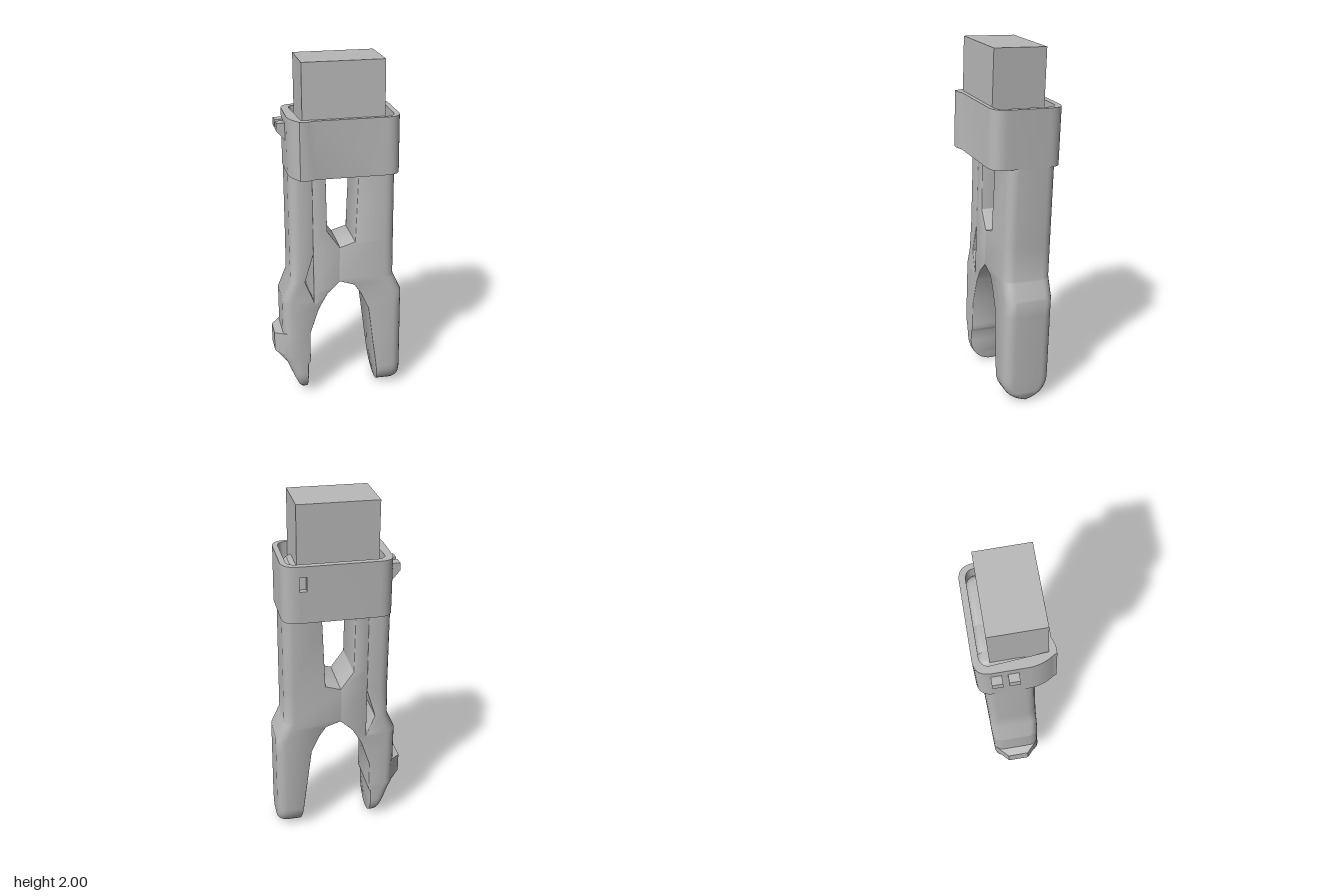
import * as THREE from 'three';
import { toCreasedNormals } from 'three/addons/utils/BufferGeometryUtils.js';
import { ConvexGeometry } from 'three/addons/geometries/ConvexGeometry.js';

const R = 0.137; // half depth of the legs
const TOP = 1.66;

// Linear lookup in a list of [y, x] points
function at(profile, y) {
  for (let i = 1; i < profile.length; i++) {
    const [y0, x0] = profile[i - 1], [y1, x1] = profile[i];
    if (y <= y1) return x0 + (x1 - x0) * Math.max(0, (y - y0) / (y1 - y0));
  }
  return profile[profile.length - 1][1];
}

// Half depth: round toe at the bottom, eased edge at the top
function halfDepth(y) {
  if (y < R) return Math.max(0.004, Math.sqrt(R * R - (R - y) ** 2));
  if (y > TOP - 0.04) return R - 0.04 + Math.sqrt(Math.max(0, 0.0016 - (y - TOP + 0.04) ** 2));
  return R;
}

// Rounded rectangle from x0 to x1, with corner radii r0 and r1
function section(x0, x1, h, r0, r1) {
  const pts = [], n = 5, w = (x1 - x0) / 2;
  const corners = [[1, 1, r1], [-1, 1, r0], [-1, -1, r0], [1, -1, r1]];
  corners.forEach(([sx, sz, r], c) => {
    r = Math.min(r, h * 0.98, w * 0.98);
    for (let i = 0; i <= n; i++) {
      const a = (c + i / n) * Math.PI / 2;
      pts.push([(sx > 0 ? x1 - r : x0 + r) + r * Math.cos(a), sz * (h - r) + r * Math.sin(a)]);
    }
  });
  return pts;
}

// Upright body between two side profiles
function loft(left, right, yMin, yMax, rLeft, rRight) {
  const ys = new Set([yMin, yMax]);
  [...left, ...right].forEach(([y]) => ys.add(y));
  for (let i = 1; i <= 8; i++) ys.add(R * (1 - Math.cos(i * Math.PI / 16)));
  for (let i = 0; i < 4; i++) ys.add(TOP - 0.04 + 0.04 * Math.sin(i * Math.PI / 8));
  const levels = [...ys].filter(y => y >= yMin && y <= yMax).sort((a, b) => a - b);
  const pos = [], idx = [];
  let n = 0;
  levels.forEach(y => {
    const s = section(at(left, y), at(right, y), halfDepth(y), rLeft, rRight);
    n = s.length;
    s.forEach(([x, z]) => pos.push(x, y, z));
  });
  for (let k = 0; k < levels.length - 1; k++) {
    for (let i = 0; i < n; i++) {
      const a = k * n + i, b = k * n + (i + 1) % n;
      idx.push(a, a + n, b, b, a + n, b + n);
    }
  }
  const last = (levels.length - 1) * n;
  for (let i = 1; i < n - 1; i++) {
    idx.push(0, i, i + 1, last, last + i + 1, last + i);
  }
  const g = new THREE.BufferGeometry();
  g.setAttribute('position', new THREE.Float32BufferAttribute(pos, 3));
  g.setIndex(idx);
  return toCreasedNormals(g, 0.6);
}

export function createModel() {
  const model = new THREE.Group();
  model.name = 'clampTool';
  const body = new THREE.Group();
  body.name = 'tiltedBody';
  body.rotation.x = -0.036;
  body.position.z = 0.01;
  model.add(body);

  const grey = new THREE.MeshStandardMaterial({ color: 0xb8b8b8 });
  grey.name = 'plainGrey';
  const add = (name, geometry, x = 0, y = 0, z = 0) => {
    const m = new THREE.Mesh(geometry, grey);
    m.name = name;
    m.position.set(x, y, z);
    body.add(m);
  };

  // Thick leg on the +x side
  const thickInner = [[0, 0.235], [0.53, 0.17], [0.63, 0.125], [0.69, 0.085], [0.72, -0.005],
    [0.925, -0.005], [0.955, 0.09], [1.42, 0.112], [1.421, -0.005], [TOP, -0.005]];
  const thickOuter = [[0, 0.345], [0.015, 0.36], [0.05, 0.37], [0.62, 0.37], [0.73, 0.32],
    [1.38, 0.32], [1.381, 0.29], [1.62, 0.29], [TOP, 0.265]];
  add('thickLeg', loft(thickInner, thickOuter, 0, TOP, 0.004, 0.055));

  // Pointed leg on the -x side, split around its diamond opening
  const slimOuter = [[0, -0.205], [0.015, -0.222], [0.05, -0.24], [0.2, -0.305], [0.25, -0.328],
    [0.62, -0.328], [0.73, -0.278], [1.38, -0.278], [1.381, -0.236], [1.62, -0.236], [TOP, -0.21]];
  const slimInner = [[0, -0.19], [0.2, -0.188], [0.22, -0.175], [0.4, -0.175], [0.55, -0.125]];
  add('slimLeg', loft(slimOuter, [...slimInner, [0.599, -0.1], [0.6, -0.148], [0.73, -0.2],
    [0.9, -0.149], [TOP, -0.149]], 0, TOP, 0.055, 0.003));
  add('slimLegRail', loft([[0.59, -0.15], [TOP, -0.15]], [[0.59, -0.104], [0.65, -0.07],
    [0.72, 0.005], [0.925, 0.005], [1.03, -0.07], [1.42, -0.076], [1.421, 0.005], [TOP, 0.005]],
  0.59, TOP, 0.003, 0.003));

  // Hook on the outside of the slim leg
  const hook = [];
  for (const s of [-1, 1]) {
    hook.push(new THREE.Vector3(-0.375, 0.39, s * 0.06), new THREE.Vector3(-0.375, 0.28, s * 0.06),
      new THREE.Vector3(-0.3, 0.2, s * 0.09), new THREE.Vector3(-0.31, 0.405, s * 0.125),
      new THREE.Vector3(-0.3, 0.25, s * 0.125));
  }
  add('hook', new ConvexGeometry(hook));

  // Collar ring, open at a small slot in its back wall
  const c = new THREE.Shape();
  c.moveTo(0.195, -0.169);
  c.lineTo(-0.195, -0.169);
  c.quadraticCurveTo(-0.28, -0.169, -0.28, -0.084);
  c.lineTo(-0.28, 0.11);
  c.quadraticCurveTo(-0.275, 0.18, -0.237, 0.232);
  c.lineTo(-0.23, 0.252);
  c.lineTo(-0.185, 0.252);
  c.lineTo(-0.145, 0.237);
  c.lineTo(0.24, 0.237);
  c.quadraticCurveTo(0.325, 0.237, 0.325, 0.152);
  c.lineTo(0.325, -0.084);
  c.quadraticCurveTo(0.325, -0.169, 0.235, -0.169);
  c.lineTo(0.235, -0.134);
  c.quadraticCurveTo(0.295, -0.134, 0.295, -0.08);
  c.lineTo(0.295, 0.15);
  c.quadraticCurveTo(0.295, 0.213, 0.24, 0.213);
  c.lineTo(-0.215, 0.213);
  c.lineTo(-0.238, -0.08);
  c.quadraticCurveTo(-0.238, -0.134, -0.18, -0.134);
  c.lineTo(0.195, -0.134);
  const collar = new THREE.ExtrudeGeometry(c, { depth: 0.32, bevelEnabled: false, curveSegments: 10 });
  collar.rotateX(Math.PI / 2);
  add('collar', toCreasedNormals(collar, 0.5), 0, 1.69, 0);
  add('slotTop', new THREE.BoxGeometry(0.04, 0.06, 0.035), 0.215, 1.66, -0.1515);
  add('slotBottom', new THREE.BoxGeometry(0.04, 0.18, 0.035), 0.215, 1.46, -0.1515);

  // Two catch teeth on the collar side
  const tooth = new THREE.Shape([[-0.27, 1.64], [-0.325, 1.64], [-0.328, 1.6], [-0.27, 1.53]]
    .map(([x, y]) => new THREE.Vector2(x, y)));
  for (const z of [-0.09, -0.003]) {
    add('catchTooth', new THREE.ExtrudeGeometry(tooth, { depth: 0.056, bevelEnabled: false }), 0, 0, z);
  }

  // Square block held in the collar
  add('block', new THREE.BoxGeometry(0.445, 0.572, 0.296), 0.0125, 1.706, 0.065);
  return model;
}
